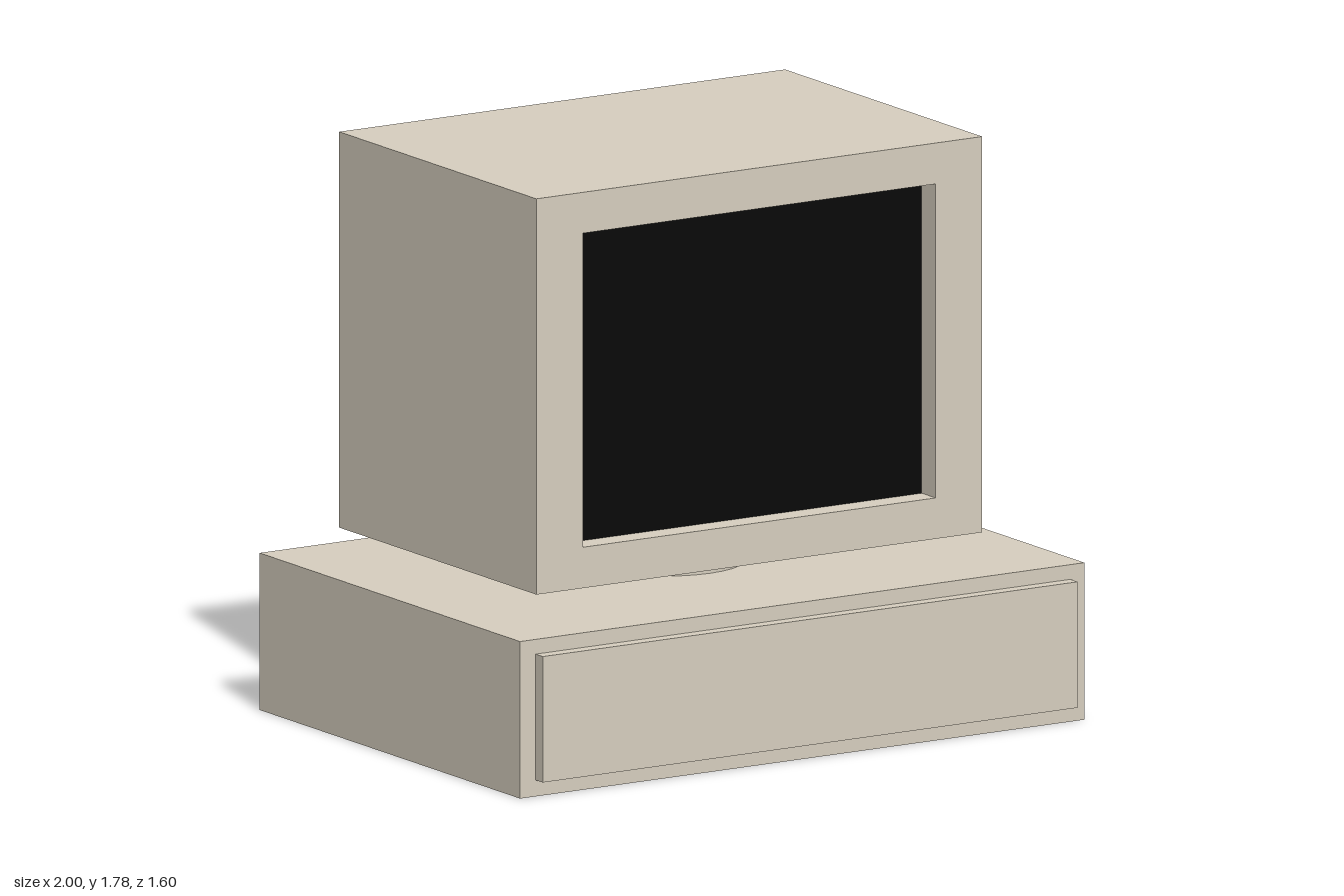
import * as THREE from 'three';

export function createModel() {
  const model = new THREE.Group();
  const beige = new THREE.MeshStandardMaterial({ color: 0xd8d0c0 });
  const black = new THREE.MeshStandardMaterial({ color: 0x0a0a0a });

  const add = (name, geometry, material = beige) => {
    const mesh = new THREE.Mesh(geometry, material);
    mesh.name = name;
    model.add(mesh);
    return mesh;
  };

  // Box given by its limits on each axis
  const box = (name, [x0, x1], [y0, y1], [z0, z1], material) =>
    add(name, new THREE.BoxGeometry(x1 - x0, y1 - y0, z1 - z0), material)
      .position.set((x0 + x1) / 2, (y0 + y1) / 2, (z0 + z1) / 2);

  // Closed outline of a rectangle
  const rectangle = (x0, x1, y0, y1) => [[x0, y0], [x1, y0], [x1, y1], [x0, y1]]
    .map(([x, y]) => new THREE.Vector2(x, y));

  // Desktop case with its raised front panel
  box('computerCase', [-1, 1], [0, 0.48], [-0.68, 0.76]);
  box('frontPanel', [-0.945, 0.95], [0.05, 0.435], [0.76, 0.8]);

  // Round swivel foot under the monitor
  add('swivelFoot', new THREE.CylinderGeometry(0.24, 0.24, 0.09, 32))
    .position.set(-0.02, 0.525, 0.04);

  // Monitor body, with a bezel framing the recessed screen
  const bezelBack = 0.505, front = 0.585;
  box('monitorBody', [-0.83, 0.75], [0.57, 1.78], [-0.505, bezelBack]);
  const bezel = new THREE.Shape(rectangle(-0.83, 0.75, 0.57, 1.78));
  bezel.holes.push(new THREE.Path(rectangle(-0.665, 0.585, 0.695, 1.655)));
  add('screenBezel', new THREE.ExtrudeGeometry(bezel, { depth: front - bezelBack, bevelEnabled: false }))
    .position.z = bezelBack;
  const screen = add('screen', new THREE.PlaneGeometry(1.25, 0.96), black);
  screen.position.set(-0.04, 1.175, bezelBack + 0.003);

  // Rear tube housing: side profile with a sloping top, extruded across x
  const profile = new THREE.Shape([[0.505, 0.745], [0.8, 0.745], [0.8, 1.28], [0.505, 1.6]]
    .map(([back, y]) => new THREE.Vector2(back, y)));
  const housing = add('rearHousing', new THREE.ExtrudeGeometry(profile, { depth: 1.11, bevelEnabled: false })
    .rotateY(Math.PI / 2));
  housing.position.x = -0.595;

  return model;
}
